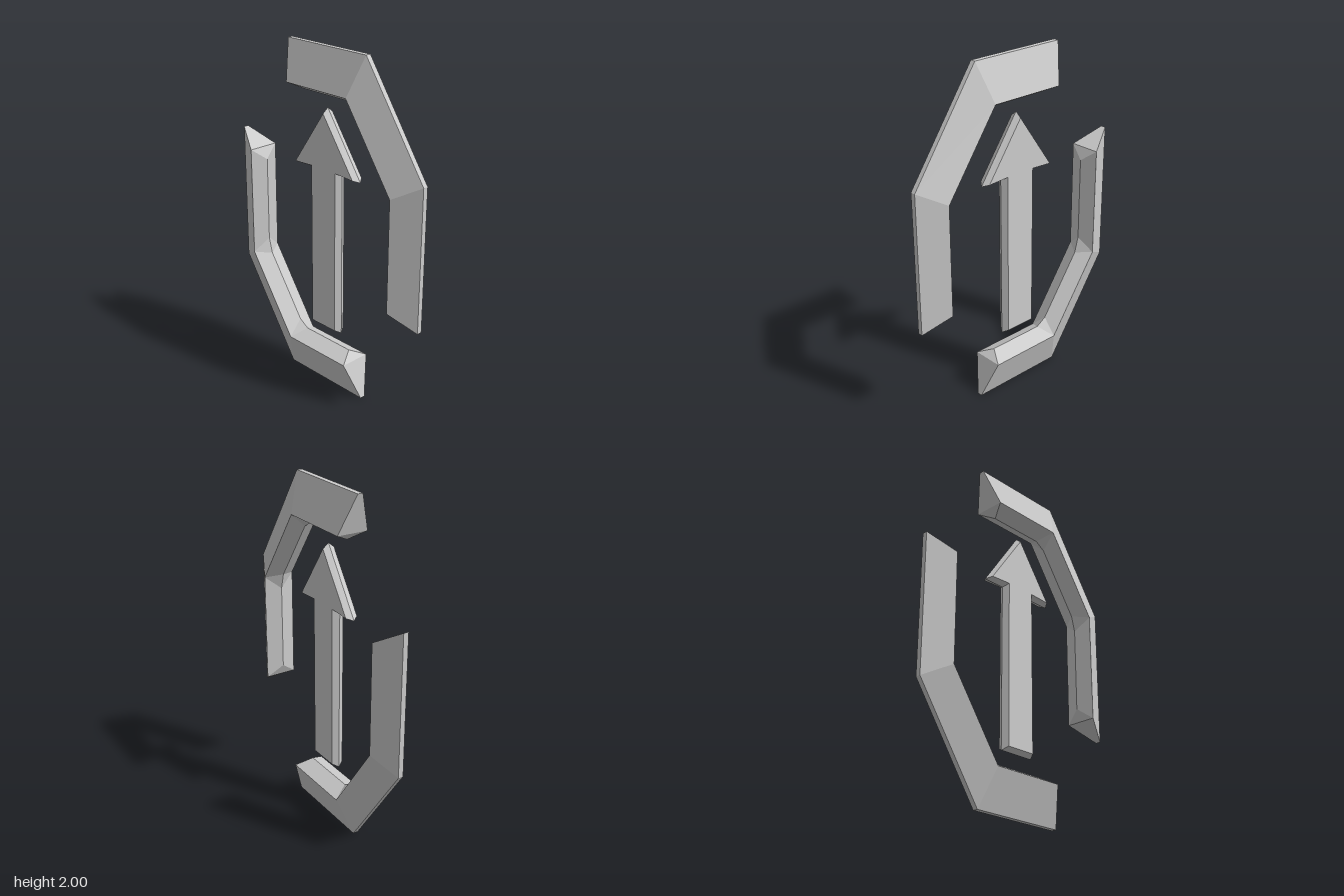
import * as THREE from 'three';

const grey = new THREE.MeshStandardMaterial({ color: 0xcccccc });
grey.name = 'grey';

// Stations along a bracket: outer edge, widest line and inner ridge, as [x, y].
// Each bend has two stations, so that only the inner ridge is chamfered.
const stations = [
  { outer: [-0.29, 2], wide: [-0.225, 1.78], inner: [-0.175, 1.735] },
  { outer: [0.29, 2], wide: [0.225, 1.78], inner: [0.175, 1.735] },
  { outer: [0.29, 2], wide: [0.225, 1.78], inner: [0.238, 1.697] },
  { outer: [0.695, 1.41], wide: [0.542, 1.325], inner: [0.485, 1.343] },
  { outer: [0.695, 1.41], wide: [0.542, 1.325], inner: [0.51, 1.25] },
  { outer: [0.695, 0.59], wide: [0.542, 0.68], inner: [0.51, 0.75] },
];

function bracketGeometry() {
  const edgeZ = 0.015, wideZ = 0.092;
  const rings = stations.map(({ outer, wide, inner }) => [
    new THREE.Vector3(...outer, edgeZ),
    new THREE.Vector3(...wide, wideZ),
    new THREE.Vector3(...inner, 0),
    new THREE.Vector3(...wide, -wideZ),
    new THREE.Vector3(...outer, -edgeZ),
  ]);
  const positions = [];
  const tri = (a, b, c) => {
    if (new THREE.Triangle(a, b, c).getArea() < 1e-6) return; // collapsed at a bend
    for (const p of [a, b, c]) positions.push(p.x, p.y - 1, p.z);
  };
  const quad = (a, b, c, d) => { tri(a, b, c); tri(a, c, d); };

  // Long faces
  for (let i = 0; i < rings.length - 1; i++) {
    const r = rings[i], s = rings[i + 1];
    for (let k = 0; k < 5; k++) {
      const n = (k + 1) % 5;
      quad(r[k], r[n], s[n], s[k]);
    }
  }
  // Folded end faces
  const [f, w, n, v, b] = rings[0];
  quad(f, b, v, w);
  tri(w, v, n);
  const [f2, w2, n2, v2, b2] = rings[rings.length - 1];
  quad(f2, w2, v2, b2);
  tri(w2, n2, v2);

  const geometry = new THREE.BufferGeometry();
  geometry.setAttribute('position', new THREE.Float32BufferAttribute(positions, 3));
  geometry.computeVertexNormals();
  return geometry;
}

function arrowGeometry() {
  const half = [[0.112, 0.35], [0.112, 1.31], [0.248, 1.31]];
  const outline = [
    ...half,
    [0, 1.67],
    ...half.map(([x, y]) => [-x, y]).reverse(),
  ].map(([x, y]) => new THREE.Vector2(x, y));
  // Two bevels meeting in a sharp edge around the outline
  return new THREE.ExtrudeGeometry(new THREE.Shape(outline), {
    depth: 0, bevelEnabled: true, bevelSegments: 1,
    bevelThickness: 0.035, bevelSize: 0.02, bevelOffset: -0.02,
  });
}

export function createModel() {
  const model = new THREE.Group();
  model.name = 'arrowEmblem';

  // Matching brackets, the lower one turned half around
  const shape = bracketGeometry();
  for (const [name, turn] of [['upperBracket', 0], ['lowerBracket', Math.PI]]) {
    const bracket = new THREE.Mesh(shape, grey);
    bracket.name = name;
    bracket.position.y = 1;
    bracket.rotation.z = turn;
    model.add(bracket);
  }

  // Upward arrow in the middle
  const arrow = new THREE.Mesh(arrowGeometry(), grey);
  arrow.name = 'arrow';
  model.add(arrow);

  return model;
}
